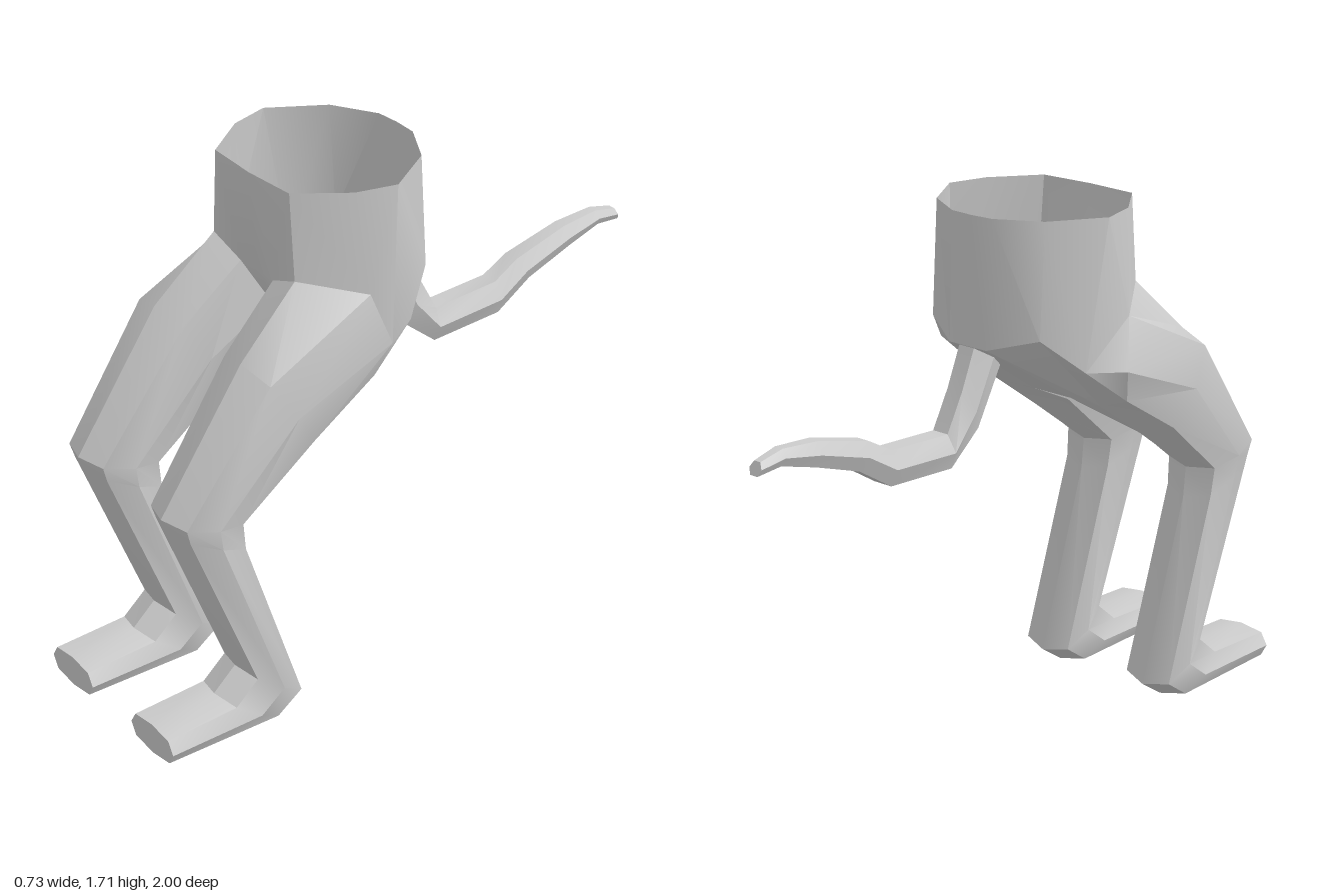
import * as THREE from 'three';
import { toCreasedNormals } from 'three/addons/utils/BufferGeometryUtils.js';

const material = new THREE.MeshStandardMaterial({ color: 0xcccccc, side: THREE.DoubleSide });

// Turns a list of polygons (each a loop of [x, y, z] corners) into a mesh
function polyMesh(name, polygons) {
  const pos = [];
  for (const p of polygons)
    for (let i = 1; i < p.length - 1; i++) pos.push(...p[0], ...p[i], ...p[i + 1]);
  const geo = new THREE.BufferGeometry();
  geo.setAttribute('position', new THREE.Float32BufferAttribute(pos, 3));
  const mesh = new THREE.Mesh(toCreasedNormals(geo, 0.5), material);
  mesh.name = name;
  return mesh;
}

// Reflects polygons to the other side, keeping them facing outward
const mirror = (polygons) => polygons.map((p) => p.map(([x, y, z]) => [-x, y, z]).reverse());

// Skins a series of rings and closes the last one
function loft(rings) {
  const polygons = [];
  const n = rings[0].length;
  for (let k = 0; k < rings.length - 1; k++)
    for (let i = 0; i < n; i++) {
      const j = (i + 1) % n;
      polygons.push([rings[k][i], rings[k + 1][i], rings[k + 1][j], rings[k][j]]);
    }
  polygons.push([...rings[rings.length - 1]].reverse());
  return polygons;
}

// Ring spanning from point f to point b (both [z, y]); section holds [along, across]
const ring = (section, cx, w, f, b) => section.map(([t, u]) => [
  cx + u * w, f[1] + (b[1] - f[1]) * t, f[0] + (b[0] - f[0]) * t]);

const LEG = [[0, 0], [0.11, 0.78], [0.5, 1], [0.88, 0.8], [1, 0], [0.88, -0.8], [0.5, -1], [0.11, -0.78]];
const TAIL = [[0, 0.5], [0.5, 1], [1, 0.6], [1, -0.6], [0.5, -1], [0, -0.5]];

// Hip opening shared by the pelvis and the leg
const hip = [
  [0.20, 1.43, 0.43], [0.325, 1.38, 0.25], [0.365, 1.22, 0.20], [0.33, 1.11, 0.24],
  [0.20, 1.06, 0.27], [0.075, 1.06, 0.27], [0.025, 1.24, 0.35], [0.08, 1.38, 0.42]];

function pelvisHalf() {
  const [ridge, outerFront, outer, outerBack, back, innerBack, inner, innerFront] = hip;
  // Open waist rim, front centre to back centre
  const T = [[0, 0.44], [0.18, 0.43], [0.29, 0.28], [0.325, 0.15], [0.22, -0.02], [0.08, -0.10], [0, -0.105]]
    .map(([x, z]) => [x, 1.705, z]);
  // Centre line of the crotch and the lower rim of the rump
  const front = [0, 1.38, 0.42], pinch = [0, 1.24, 0.35], crotch = [0, 1.06, 0.27];
  const R = [[0, 1.30, -0.12], [0.075, 1.30, -0.12], [0.22, 1.34, -0.04], [0.30, 1.23, 0.08]];
  return [
    [T[0], front, innerFront, T[1]], [T[1], innerFront, ridge],
    [T[1], ridge, outerFront, T[2]], [T[2], outerFront, T[3]],
    [T[3], outerFront, outer, R[3]], [outer, outerBack, R[3]],
    [T[3], R[3], R[2], T[4]], [T[4], R[2], R[1], T[5]], [T[5], R[1], R[0], T[6]],
    [front, pinch, inner, innerFront], [pinch, crotch, innerBack, inner],
    [R[0], R[1], innerBack, crotch], [R[1], back, innerBack],
    [R[1], R[2], R[3], back], [R[3], outerBack, back],
  ];
}

function legPolygons() {
  // [centre x, half width, front [z, y], back [z, y]] from thigh to toe
  const stations = [
    [0.218, 0.145, [0.64, 1.24], [0.44, 0.935]],
    [0.217, 0.118, [0.935, 0.825], [0.68, 0.76]],
    [0.217, 0.111, [0.92, 0.78], [0.67, 0.66]],
    [0.217, 0.111, [0.69, 0.20], [0.48, 0.06]],
    [0.217, 0.111, [0.77, 0.13], [0.57, 0]],
    [0.217, 0.111, [1.0, 0.12], [1.0, 0.015]]];
  return loft([hip, ...stations.map((s) => ring(LEG, ...s))]);
}

function tailPolygons() {
  // [half width, upper [z, y], lower [z, y]] from root to tip
  const stations = [
    [0.06, [-0.11, 1.30], [0, 1.22]], [0.06, [-0.165, 1.17], [-0.10, 1.04]],
    [0.06, [-0.23, 1.05], [-0.22, 0.94]], [0.058, [-0.47, 1.06], [-0.48, 0.95]],
    [0.053, [-0.56, 1.11], [-0.61, 1.03]], [0.043, [-0.76, 1.16], [-0.78, 1.085]],
    [0.032, [-0.90, 1.17], [-0.91, 1.12]], [0.025, [-0.985, 1.15], [-1.0, 1.11]]];
  return loft(stations.map(([w, f, b]) => ring(TAIL, 0.012, -w, f, b)));
}

export function createModel() {
  const model = new THREE.Group();
  model.name = 'lowerBody';
  const half = pelvisHalf();
  const leg = legPolygons();
  model.add(
    polyMesh('pelvis', [...half, ...mirror(half)]),
    polyMesh('leftLeg', leg),
    polyMesh('rightLeg', mirror(leg)),
    polyMesh('tail', tailPolygons()));
  return model;
}
